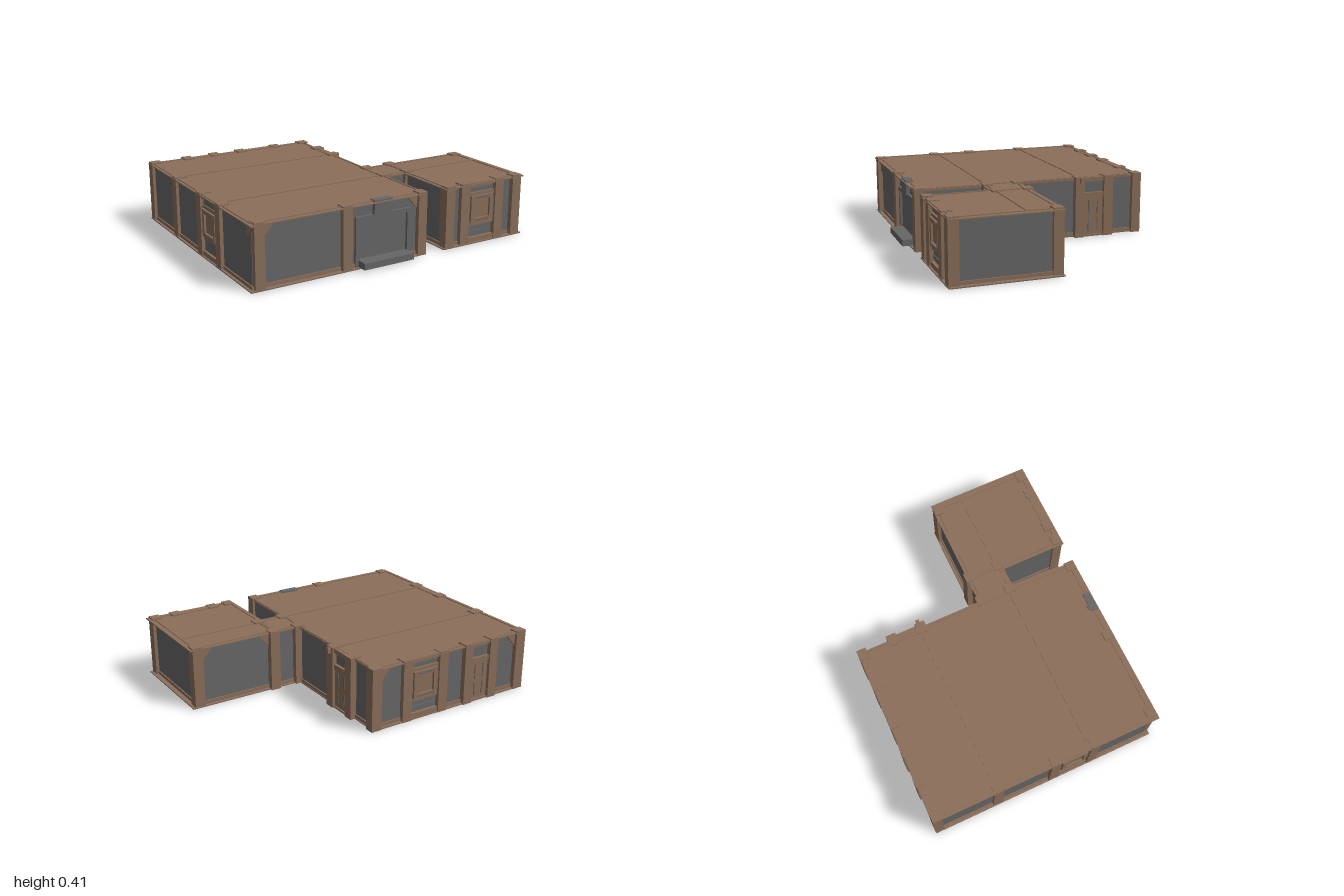
import * as THREE from 'three';

const brown = new THREE.MeshStandardMaterial({ color: 0x8a6e5a });
brown.name = 'brown cladding';
const gray = new THREE.MeshStandardMaterial({ color: 0x676767 });
gray.name = 'gray wall';

// Box given by its limits on each axis
function box(parent, name, mat, x0, x1, y0, y1, z0, z1) {
  const m = new THREE.Mesh(new THREE.BoxGeometry(x1 - x0, y1 - y0, z1 - z0), mat);
  m.position.set((x0 + x1) / 2, (y0 + y1) / 2, (z0 + z1) / 2);
  m.name = name;
  parent.add(m);
  return m;
}

// Group on a wall: local +z points out of the wall
function onWall(parent, name, x, z, turn) {
  const g = new THREE.Group();
  g.name = name;
  g.position.set(x, 0, z);
  g.rotation.y = turn;
  parent.add(g);
  return g;
}

// One room: floor plate, walls, trims, roof slab and raised roof border
function room(parent, name, slab, wall) {
  const g = new THREE.Group();
  g.name = name;
  parent.add(g);
  const [a, b, c, d] = slab, [x0, x1, z0, z1] = wall, t = 0.008;
  box(g, 'floorPlate', gray, a, b, 0.001, 0.004, c, d);
  box(g, 'baseSkirt', brown, a, b, 0.004, 0.008, c, d);
  box(g, 'walls', gray, x0, x1, 0.006, 0.396, z0, z1);
  box(g, 'baseTrim', brown, x0 - t, x1 + t, 0.006, 0.03, z0 - t, z1 + t);
  box(g, 'topTrim', brown, x0 - t, x1 + t, 0.387, 0.396, z0 - t, z1 + t);
  box(g, 'roofSlab', brown, a, b, 0.395, 0.402, c, d);
  for (const x of [x0, x1]) box(g, 'roofBorder', brown, x - 0.006, x + 0.006, 0.4, 0.407, z0, z1);
  for (const z of [z0, z1]) box(g, 'roofBorder', brown, x0, x1, 0.4, 0.407, z - 0.006, z + 0.006);
  return g;
}

function post(parent, x0, x1, z0, z1) {
  box(parent, 'post', brown, x0, x1, 0, 0.412, z0, z1);
}

// Window bay, 0.345 wide, between two posts
function windowBay(parent, x, z, turn) {
  const g = onWall(parent, 'windowBay', x, z, turn);
  for (const s of [-1, 1]) {
    box(g, 'bayPost', brown, s * 0.139 - 0.034, s * 0.139 + 0.034, 0, 0.412, -0.04, 0.03);
    box(g, 'sideSlot', gray, s * 0.1 - 0.005, s * 0.1 + 0.005, 0.15, 0.305, 0.012, 0.019);
    box(g, 'frameSide', brown, s * 0.076 - 0.013, s * 0.076 + 0.013, 0.14, 0.32, 0, 0.028);
  }
  box(g, 'bayHead', brown, -0.11, 0.11, 0.382, 0.407, -0.03, 0.022);
  box(g, 'bayPanel', brown, -0.11, 0.11, 0.118, 0.34, -0.01, 0.014);
  box(g, 'baySill', brown, -0.11, 0.11, 0, 0.04, -0.01, 0.022);
  for (const y of [0.155, 0.305]) {
    box(g, 'frameRail', brown, -0.089, 0.089, y - 0.013, y + 0.013, 0, 0.027);
    box(g, 'railSlot', gray, -0.055, 0.055, y - 0.005, y + 0.005, 0.024, 0.0285);
  }
  for (const y of [0.06, 0.352]) box(g, 'grayInset', gray, -0.1, 0.1, y, y + 0.02, -0.005, 0.007);
}

// Door bay, 0.27 wide, between two posts
function doorBay(parent, x, z, turn) {
  const g = onWall(parent, 'doorBay', x, z, turn);
  for (const s of [-1, 1]) {
    box(g, 'bayPost', brown, s * 0.103 - 0.033, s * 0.103 + 0.033, 0, 0.412, -0.04, 0.035);
    for (const [y0, y1] of [[0.04, 0.125], [0.155, 0.25]]) {
      box(g, 'doorSlot', gray, s * 0.032 - 0.004, s * 0.032 + 0.004, y0, y1, 0.012, 0.018);
    }
  }
  box(g, 'doorLeaf', brown, -0.072, 0.072, 0.008, 0.272, -0.01, 0.014);
  box(g, 'doorLintel', brown, -0.072, 0.072, 0.268, 0.302, -0.01, 0.024);
  box(g, 'doorHead', brown, -0.072, 0.072, 0.378, 0.405, -0.03, 0.022);
  box(g, 'doorSill', brown, -0.072, 0.072, 0, 0.012, -0.01, 0.024);
  box(g, 'fanlight', gray, -0.072, 0.072, 0.3, 0.38, -0.005, 0.005);
}

// Triangular brace in a top corner; dir is the side it spreads to
function brace(parent, x, z, turn, dir) {
  const g = onWall(parent, 'cornerBrace', x, z, turn);
  const s = new THREE.Shape([[0, 0.39], [dir * 0.07, 0.39], [0, 0.31]].map(p => new THREE.Vector2(...p)));
  const m = new THREE.Mesh(new THREE.ExtrudeGeometry(s, { depth: 0.012, bevelEnabled: false }), brown);
  m.name = 'brace';
  g.add(m);
}

export function createModel() {
  const model = new THREE.Group();
  model.name = 'modularBuilding';
  const B = Math.PI, R = Math.PI / 2;

  // Three rooms
  const hall = room(model, 'mainHall', [-1, 0.212, -0.812, 0.76], [-0.975, 0.2, -0.785, 0.725]);
  const link = room(model, 'passage', [0.19, 0.4, 0.056, 0.312], [0.19, 0.4, 0.08, 0.285]);
  const annex = room(model, 'annex', [0.357, 1, 0.056, 0.76], [0.385, 0.96, 0.085, 0.725]);

  // Roof seams
  for (const z of [-0.372, 0.276]) box(hall, 'roofSeam', brown, -0.975, 0.2, 0.4, 0.407, z - 0.011, z + 0.011);
  box(annex, 'roofSeam', brown, 0.385, 0.96, 0.4, 0.407, 0.265, 0.287);

  // Main hall posts: front, back corners, left side
  post(hall, -0.972, -0.907, 0.69, 0.757);
  post(hall, -0.392, -0.326, 0.69, 0.757);
  post(hall, 0.155, 0.218, 0.69, 0.757);
  post(hall, -0.995, -0.92, -0.815, -0.752);
  post(hall, 0.157, 0.23, -0.815, -0.752);
  post(hall, -0.995, -0.915, -0.398, -0.33);

  // Passage posts
  for (const x of [0.214, 0.402]) {
    post(link, x - 0.035, x + 0.034, 0.042, 0.105);
    post(link, x - 0.035, x + 0.034, 0.248, 0.313);
  }

  // Annex corner posts
  post(annex, 0.37, 0.437, 0.69, 0.757);
  post(annex, 0.912, 0.982, 0.69, 0.757);
  post(annex, 0.912, 0.982, 0.06, 0.125);

  // Windows and doors
  windowBay(annex, 0.663, 0.725, 0);
  windowBay(hall, -0.175, -0.785, B);
  windowBay(hall, -0.968, 0.175, -R);
  doorBay(hall, -0.62, -0.785, B);
  doorBay(hall, 0.208, -0.466, R);
  box(hall, 'doorLamp', brown, 0.24, 0.265, 0.372, 0.408, -0.38, -0.358);

  // Corner braces
  brace(hall, -0.907, 0.725, 0, 1);
  brace(hall, 0.155, 0.725, 0, -1);
  brace(hall, 0.157, -0.785, B, 1);
  brace(hall, -0.92, -0.785, B, -1);
  brace(annex, 0.912, 0.085, B, 1);
  brace(annex, 0.437, 0.085, B, -1);
  brace(hall, -0.975, 0.69, -R, 1);

  // Front entrance with frame, hood and step
  const entry = new THREE.Group();
  entry.name = 'frontEntrance';
  model.add(entry);
  for (const [x0, x1] of [[-0.295, -0.27], [0.08, 0.105]]) box(entry, 'entryJamb', gray, x0, x1, 0.008, 0.32, 0.72, 0.742);
  box(entry, 'entryHead', gray, -0.295, 0.105, 0.3, 0.325, 0.72, 0.742);
  box(entry, 'entryHood', gray, -0.168, -0.038, 0.32, 0.412, 0.703, 0.75);
  box(entry, 'entryHoodCap', gray, -0.15, -0.12, 0.395, 0.41, 0.69, 0.71);
  box(entry, 'entryStep', gray, -0.274, 0.085, 0.01, 0.052, 0.725, 0.812);

  return model;
}
